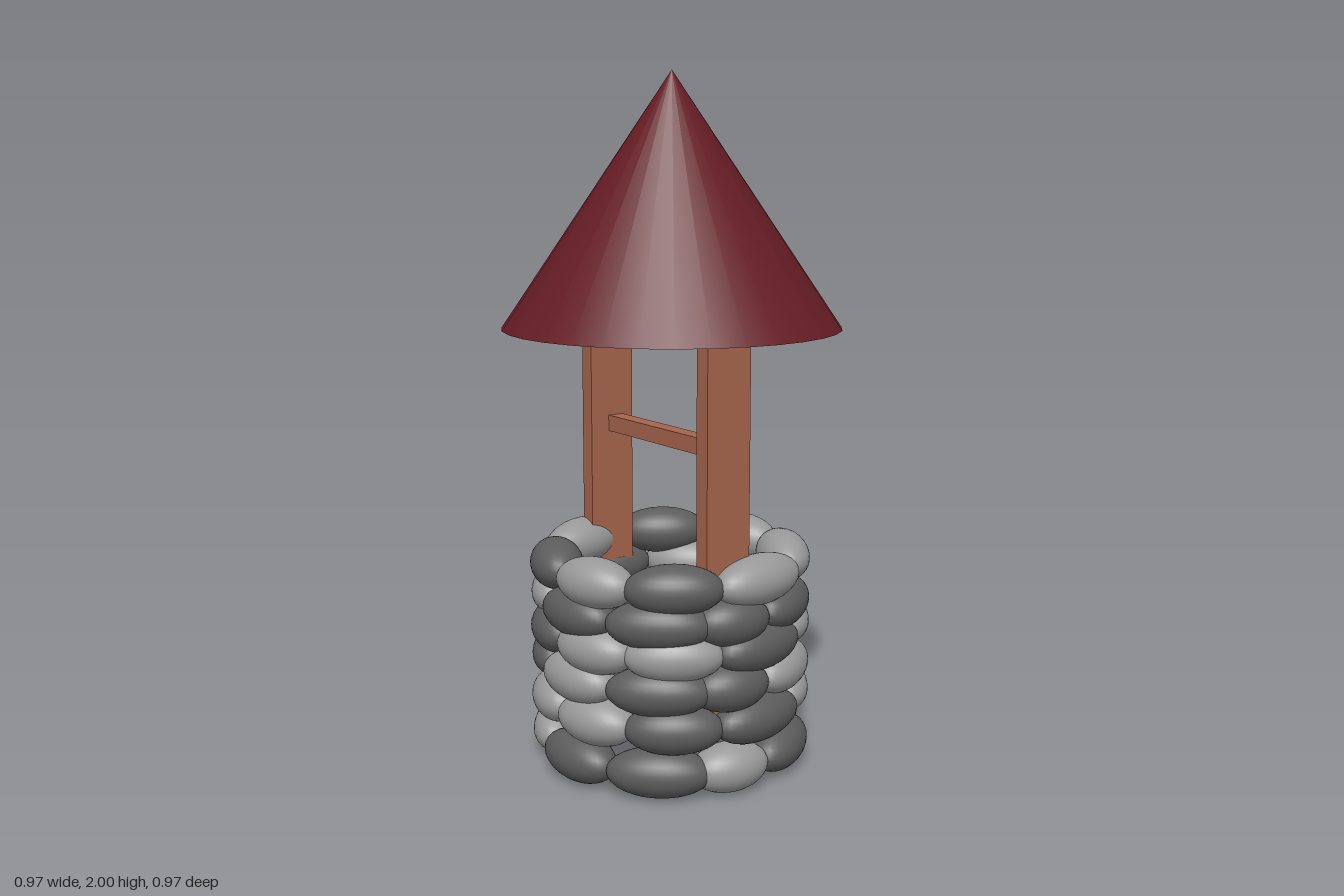
import * as THREE from 'three';

const mat = (color) => new THREE.MeshStandardMaterial({ color });

export function createModel() {
  const well = new THREE.Group();
  well.name = 'well';
  const wood = mat(0xa5644b), roofRed = mat(0x651c24);
  const stoneMats = { L: mat(0x999999), M: mat(0x7d7d7d), D: mat(0x5c5c5c) };

  const add = (parent, name, geometry, material, x, y, z) => {
    const mesh = new THREE.Mesh(geometry, material);
    mesh.name = name;
    mesh.position.set(x, y, z);
    parent.add(mesh);
    return mesh;
  };

  // Two alternating stone layouts: [angle in degrees from the front, half length]
  const layoutA = [[-33, 0.14], [12, 0.16], [62, 0.145], [104, 0.125], [150, 0.14], [199, 0.15], [245, 0.135], [287, 0.13]];
  const layoutB = [[-40, 0.15], [-5, 0.12], [36, 0.155], [90, 0.16], [136, 0.135], [180, 0.14], [228, 0.15], [275, 0.14]];

  // Stone courses from bottom to top: height, layout, shade of each stone
  const courses = [
    [0.073, layoutB, 'DLDLDLLD'],
    [0.2, layoutA, 'DDLDMDLL'],
    [0.31, layoutB, 'DDLDLLDL'],
    [0.41, layoutA, 'LDLDLMDL'],
    [0.5, layoutB, 'DDDDLDLD'],
    [0.6, layoutA, 'DLLLDLDL'],
  ];
  const wall = new THREE.Group();
  wall.name = 'stoneWall';
  well.add(wall);
  const sphere = new THREE.SphereGeometry(1, 32, 16);
  courses.forEach(([y, layout, shades], row) => {
    layout.forEach(([degrees, halfLength], i) => {
      const a = THREE.MathUtils.degToRad(degrees), r = 0.335;
      const stone = add(wall, `stone${row + 1}_${i + 1}`, sphere, stoneMats[shades[i]],
        r * Math.sin(a) - 0.005, y, r * Math.cos(a));
      stone.scale.set(halfLength, 0.071, 0.077);
      stone.rotation.y = a;
    });
  });

  // Posts standing in the front and back of the wall
  const post = new THREE.BoxGeometry(0.145, 1.1, 0.05);
  for (const [name, side] of [['frontPost', 1], ['backPost', -1]]) {
    add(well, name, post, wood, -0.033, 0.74, side * 0.296);
  }

  // Crossbar between the posts
  const bar = add(well, 'crossbar', new THREE.BoxGeometry(0.05, 0.048, 0.56), wood, -0.02, 0.967, 0);
  bar.rotation.x = -0.005;

  // Conical roof
  add(well, 'roof', new THREE.ConeGeometry(0.487, 0.72, 32), roofRed, 0, 1.64, 0);
  return well;
}
